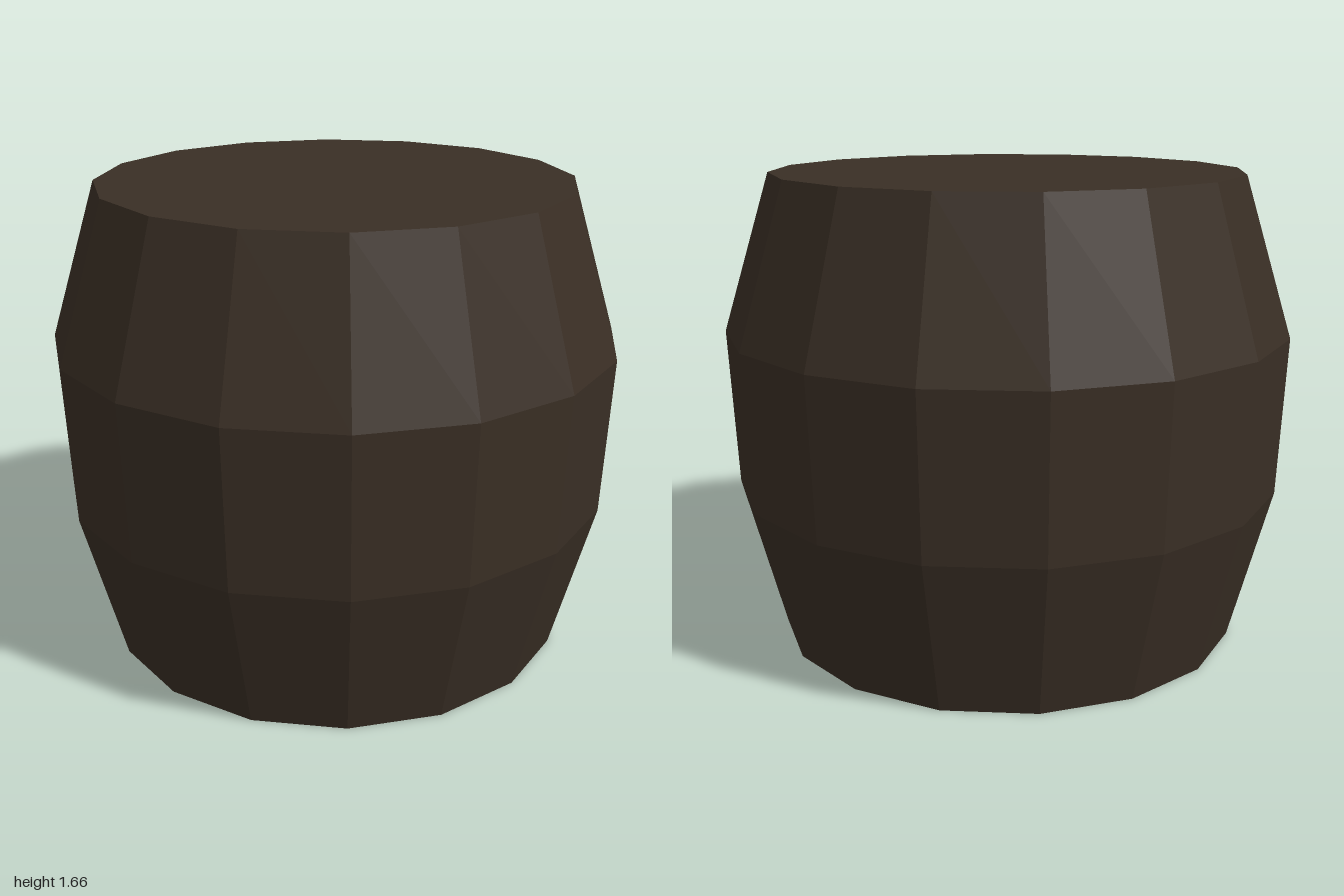
import * as THREE from 'three';

const SIDES = 16;
const HEIGHT = 1.66;
const END_RADIUS = 0.83;

export function createModel() {
  const model = new THREE.Group();
  model.name = 'barrel';
  const wood = new THREE.MeshStandardMaterial({ color: 0x3a2f25, flatShading: true });
  wood.name = 'dark wood';

  const add = (name, geometry) => {
    const mesh = new THREE.Mesh(geometry, wood);
    mesh.name = name;
    model.add(mesh);
    return mesh;
  };

  // Bulging wall of staves, widest above the middle
  const profile = [
    [END_RADIUS, 0],
    [0.975, 0.555],
    [1, 1.11],
    [END_RADIUS, HEIGHT],
  ].map(([r, y]) => new THREE.Vector2(r, y));
  add('staves', new THREE.LatheGeometry(profile, SIDES));

  // Flat ends
  const disc = new THREE.CircleGeometry(END_RADIUS, SIDES);
  const lid = add('lid', disc);
  lid.rotation.x = -Math.PI / 2;
  lid.position.y = HEIGHT;
  const base = add('base', disc);
  base.rotation.x = Math.PI / 2;

  return model;
}
